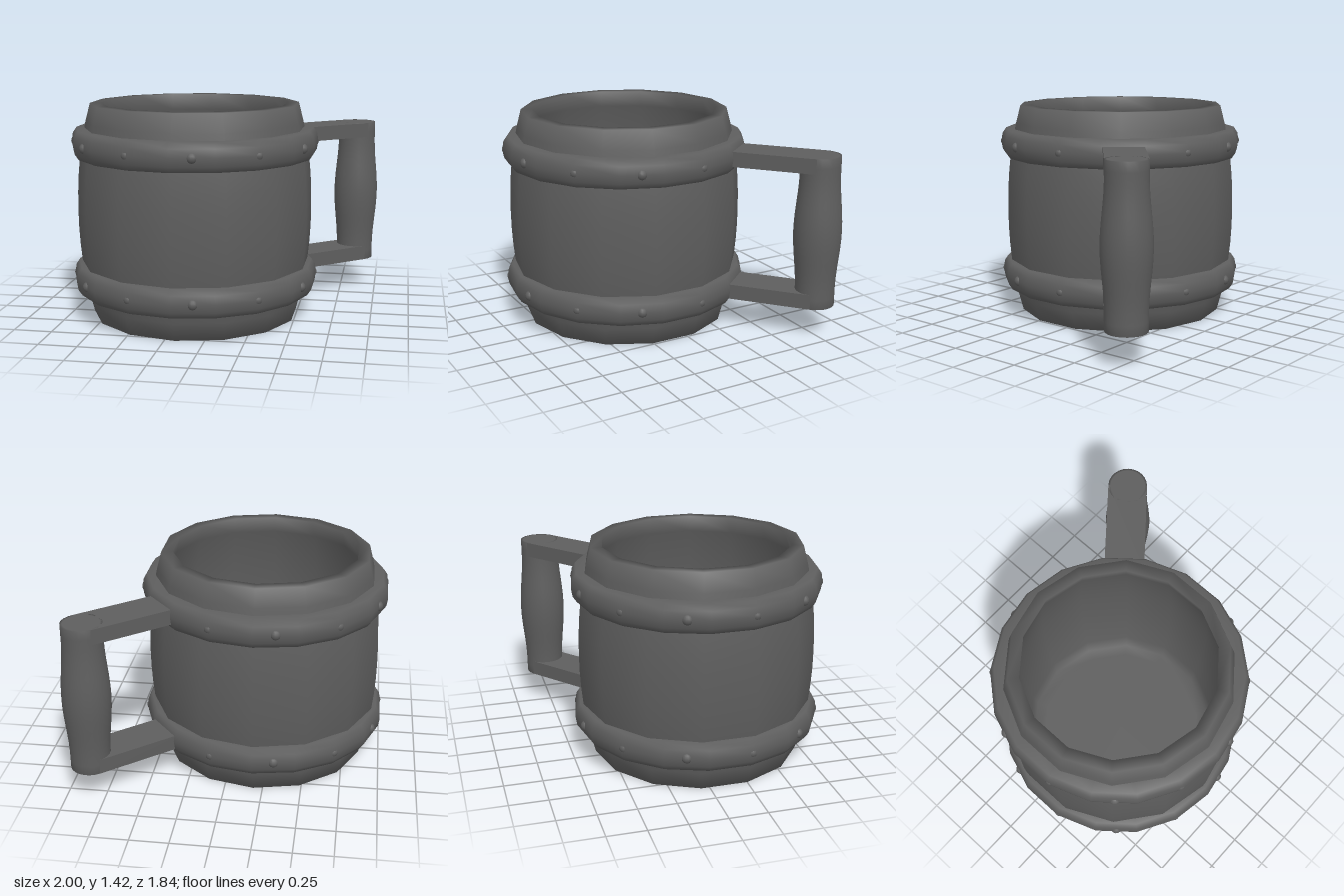
import * as THREE from 'three';

const material = new THREE.MeshStandardMaterial({ color: 0x5e5e5e });
const HEIGHT = 1.42;
const BANDS = [0.267, 1.166]; // heights of the two hoops

function part(name, geometry, parent) {
  const mesh = new THREE.Mesh(geometry, material);
  mesh.name = name;
  parent.add(mesh);
  return mesh;
}

// Smooth-shaded turned shape
function lathe(points, sides) {
  return new THREE.LatheGeometry(points.map(([r, y]) => new THREE.Vector2(r, y)), sides);
}

// Barrel bulge: narrow at both ends, widest half way up
function barrelRadius(y) {
  const t = Math.abs(y / (HEIGHT / 2) - 1);
  return 0.785 - 0.094 * Math.pow(t, 2.2);
}

// Hollow barrel body with floor, rim and inner wall; inset rings keep the flat discs flat
function cupGeometry() {
  const steps = 12, floor = 0.08, wall = 0.075;
  const points = [[0, 0], [0.62, 0]];
  for (let i = 0; i <= steps; i++) {
    const y = (HEIGHT * i) / steps;
    points.push([barrelRadius(y), y]);
  }
  for (let i = steps; i >= 0; i--) {
    const y = floor + ((HEIGHT - floor) * i) / steps;
    points.push([barrelRadius(y) - wall, y]);
  }
  points.push([0.56, floor], [0, floor]);
  return lathe(points, 14);
}

// Rounded hoop around the body
const bandGeometry = () => lathe([
  [0.70, -0.092], [0.787, -0.092], [0.812, -0.055], [0.821, 0],
  [0.812, 0.055], [0.787, 0.092], [0.70, 0.092],
], 18);

// Grip with a swell in the middle and flat ends
function gripGeometry() {
  const bottom = 0.209, top = 1.216, steps = 16;
  const points = [[0, bottom], [0.115, bottom]];
  for (let i = 0; i <= steps; i++) {
    const y = bottom + ((top - bottom) * i) / steps;
    const t = Math.min(1, Math.abs(y - 0.71) / 0.4);
    points.push([0.13 + 0.026 * Math.cos((t * Math.PI) / 2) ** 2, y]);
  }
  points.push([0.115, top], [0, top]);
  return lathe(points, 24);
}

export function createModel() {
  const mug = new THREE.Group();
  mug.name = 'barrelMug';
  mug.position.set(-0.188, 0, 0.099);

  part('cup', cupGeometry(), mug);

  // Hoops, each with a ring of twelve rivets
  const band = bandGeometry();
  const rivet = new THREE.SphereGeometry(0.035, 12, 8);
  BANDS.forEach((y, level) => {
    const hoop = new THREE.Group();
    hoop.name = level ? 'upperHoop' : 'lowerHoop';
    hoop.position.y = y;
    part('band', band, hoop);
    for (let i = 0; i < 12; i++) {
      const a = THREE.MathUtils.degToRad(10 + 30 * i);
      part('rivet', rivet, hoop).position.set(0.79 * Math.sin(a), 0, 0.79 * Math.cos(a));
    }
    mug.add(hoop);
  });

  // Handle: built along +x, then swung toward the back
  const handle = new THREE.Group();
  handle.name = 'handle';
  handle.rotation.y = THREE.MathUtils.degToRad(40);
  const reach = 1.346, start = 0.72;
  const bar = new THREE.BoxGeometry(reach - start, 0.1, 0.26);
  [['lowerArm', 0.259], ['upperArm', 1.166]].forEach(([name, y]) => {
    part(name, bar, handle).position.set((reach + start) / 2, y, 0);
  });
  part('grip', gripGeometry(), handle).position.x = reach;
  mug.add(handle);

  const model = new THREE.Group();
  model.name = 'mug';
  model.add(mug);
  return model;
}
